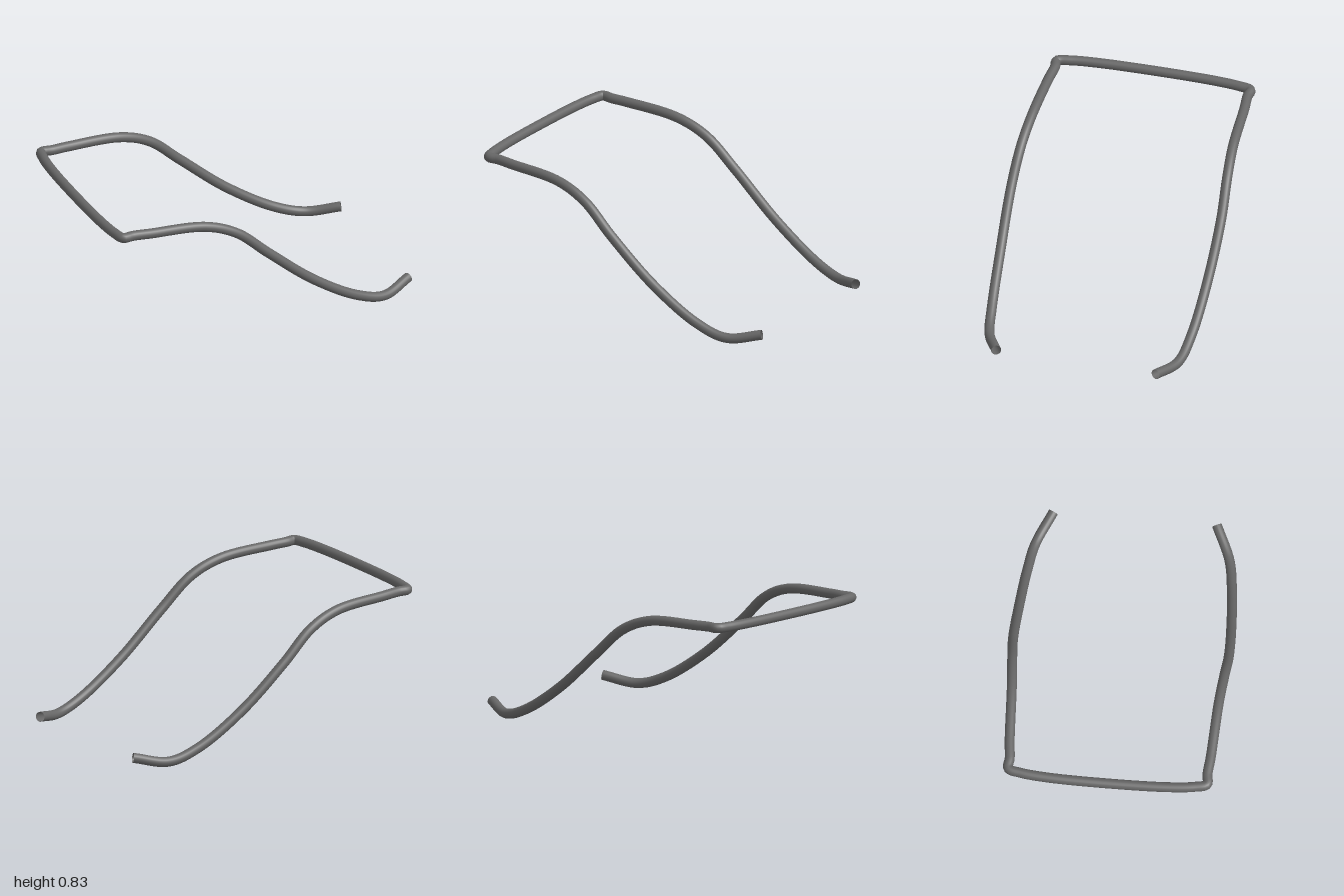
import * as THREE from 'three';

export function createModel() {
  const group = new THREE.Group();
  group.name = 'bentTubeFrame';

  const darkGrey = new THREE.MeshStandardMaterial({ color: 0x666666, side: THREE.DoubleSide });
  darkGrey.name = 'darkGrey';

  // One side rail, from its open lower end up to the tight corner
  const rail = [
    [0.985, 0.066, 0.49],
    [0.79, 0.031, 0.58],
    [0.6, 0.09, 0.612],
    [0.3, 0.275, 0.636],
    [0, 0.525, 0.646],
    [-0.2, 0.696, 0.634],
    [-0.4, 0.775, 0.619],
    [-0.75, 0.798, 0.602],
    [-0.86, 0.802, 0.592],
    [-0.925, 0.803, 0.595],
    [-0.947, 0.803, 0.52],
    [-0.963, 0.803, 0.36],
  ].map((p) => new THREE.Vector3(...p));

  // The other rail is its mirror image, joined through the middle of the cross bar
  const mirrored = rail.map((p) => new THREE.Vector3(p.x, p.y, -p.z)).reverse();
  const path = new THREE.CatmullRomCurve3([...rail, new THREE.Vector3(-0.97, 0.803, 0), ...mirrored]);

  // Continuous open-ended tube
  const tube = new THREE.Mesh(new THREE.TubeGeometry(path, 400, 0.03, 20, false), darkGrey);
  tube.name = 'bentTube';
  group.add(tube);

  return group;
}
